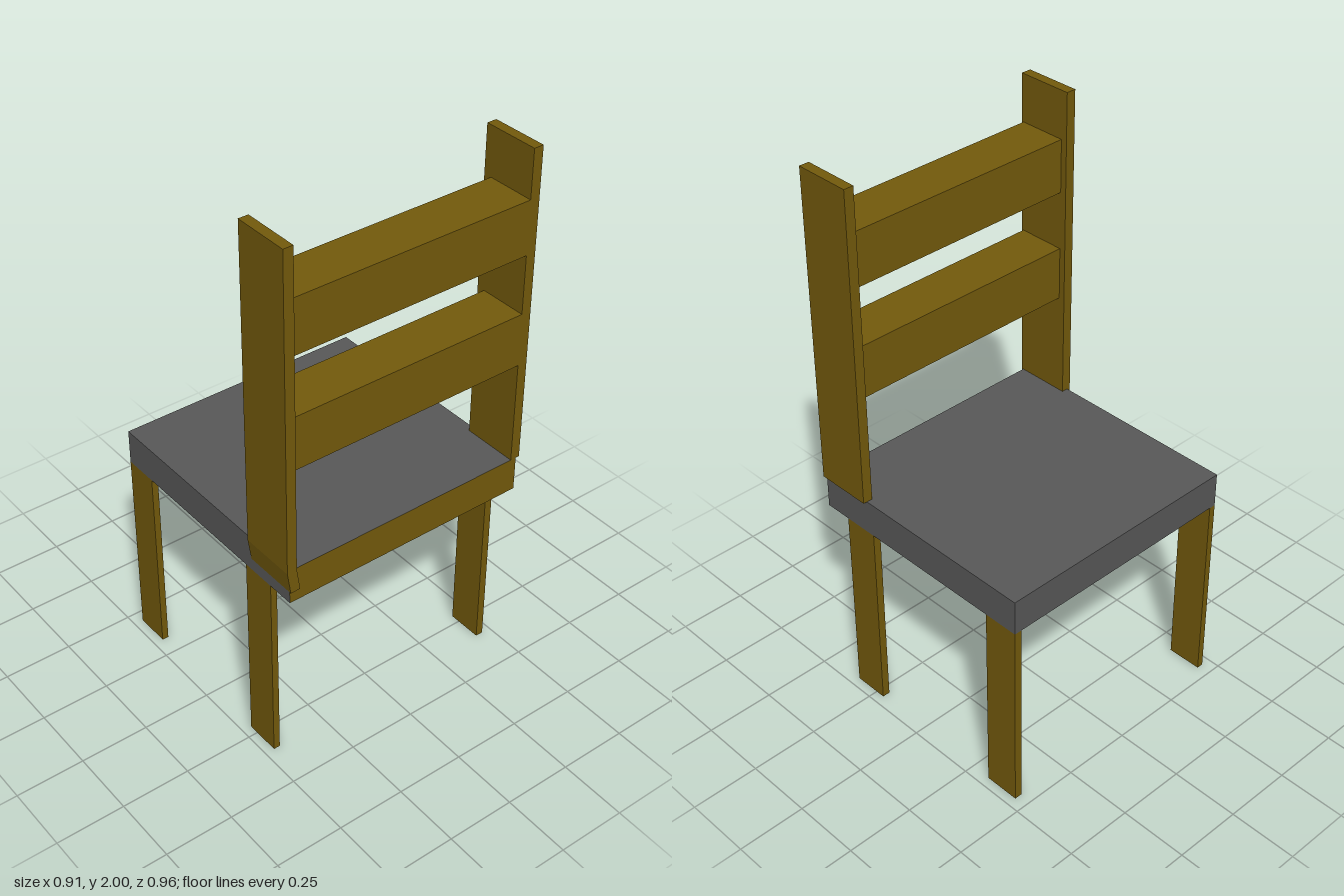
import * as THREE from 'three';

export function createModel() {
  const group = new THREE.Group();
  const wood = new THREE.MeshStandardMaterial({ name: 'brown wood', color: 0x735a0c });
  const grey = new THREE.MeshStandardMaterial({ name: 'grey seat', color: 0x585858 });

  // Box between two corners
  function box(name, x0, x1, y0, y1, z0, z1, material = wood) {
    const geometry = new THREE.BoxGeometry(x1 - x0, y1 - y0, z1 - z0);
    geometry.translate((x0 + x1) / 2, (y0 + y1) / 2, (z0 + z1) / 2);
    const mesh = new THREE.Mesh(geometry, material);
    mesh.name = name;
    group.add(mesh);
    return mesh;
  }

  // Seat: grey, with bare wood on the back edge and underside
  box('seat', -0.455, 0.445, 0.725, 0.853, -0.465, 0.465, [wood, grey, grey, wood, grey, grey]);

  // Legs
  for (const [name, x] of [['frontLeg', -0.455], ['rearLeg', 0.215]]) {
    box(name + 'Left', x, x + 0.13, 0, 0.725, 0.441, 0.465);
    box(name + 'Right', x, x + 0.13, 0, 0.725, -0.465, -0.437);
  }

  // Backrest posts
  box('backPostRight', 0.239, 0.445, 0.853, 2, -0.479, -0.443);
  box('backPostLeft', 0.246, 0.452, 0.853, 2, 0.442, 0.478);

  // Bent foot of one post, leaning in over the seat edge
  const foot = box('backPostFoot', 0.246, 0.452, 0.77, 0.853, 0.442, 0.478);
  const p = foot.geometry.attributes.position;
  for (let i = 0; i < p.count; i++) {
    if (p.getY(i) < 0.8) p.setZ(i, p.getZ(i) - 0.0125);
  }
  foot.geometry.computeVertexNormals();

  // Backrest slats
  for (const [name, y] of [['lowerSlat', 1.23], ['upperSlat', 1.635]]) {
    box(name, 0.269, 0.445, y, y + 0.193, -0.443, 0.442);
  }
  return group;
}
